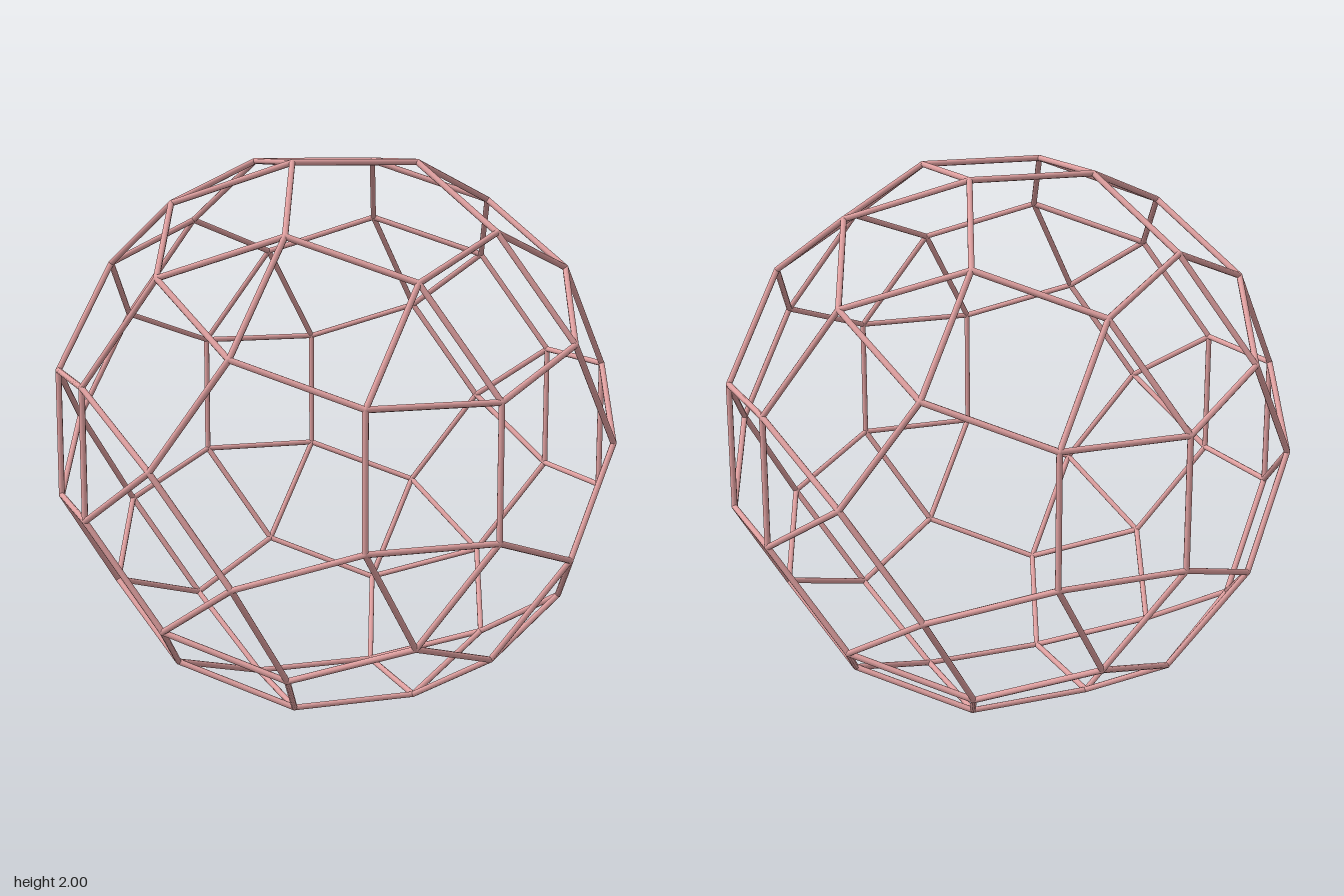
import * as THREE from 'three';

// Open strut frame of a rhombicosidodecahedron.
export function createModel() {
  const model = new THREE.Group();
  model.name = 'polyhedronFrame';
  const material = new THREE.MeshStandardMaterial({ color: 0xe0a0a0 });
  const radius = 0.011;
  const phi = (1 + Math.sqrt(5)) / 2;
  const scale = (1 - radius) / phi ** 3;

  // Corners: all sign changes and cyclic turns of three seed points
  const seeds = [
    [1, 1, phi ** 3],
    [phi ** 2, phi, 2 * phi],
    [2 + phi, 0, phi ** 2],
  ];
  const corners = [];
  for (const seed of seeds) {
    for (let turn = 0; turn < 3; turn++) {
      for (let bits = 0; bits < 8; bits++) {
        const p = [0, 1, 2].map((i) => seed[(i + turn) % 3] * (bits & (1 << i) ? -1 : 1));
        const v = new THREE.Vector3(...p).multiplyScalar(scale);
        if (!corners.some((c) => c.distanceTo(v) < 0.01)) corners.push(v);
      }
    }
  }

  // Struts join every pair of corners one edge length apart
  const edge = 2 * scale;
  const strutGeometry = new THREE.CylinderGeometry(radius, radius, edge, 8, 1, true);
  const struts = new THREE.Group();
  struts.name = 'struts';
  const up = new THREE.Vector3(0, 1, 0);
  corners.forEach((a, i) => {
    for (const b of corners.slice(i + 1)) {
      if (Math.abs(a.distanceTo(b) - edge) > 0.01) continue;
      const strut = new THREE.Mesh(strutGeometry, material);
      strut.name = 'strut';
      strut.position.addVectors(a, b).multiplyScalar(0.5);
      strut.quaternion.setFromUnitVectors(up, b.clone().sub(a).normalize());
      struts.add(strut);
    }
  });

  // Small round joints close the strut ends
  const jointGeometry = new THREE.SphereGeometry(radius, 10, 8);
  const joints = new THREE.Group();
  joints.name = 'joints';
  for (const c of corners) {
    const joint = new THREE.Mesh(jointGeometry, material);
    joint.name = 'joint';
    joint.position.copy(c);
    joints.add(joint);
  }

  model.add(struts, joints);
  model.position.y = 1;
  return model;
}
